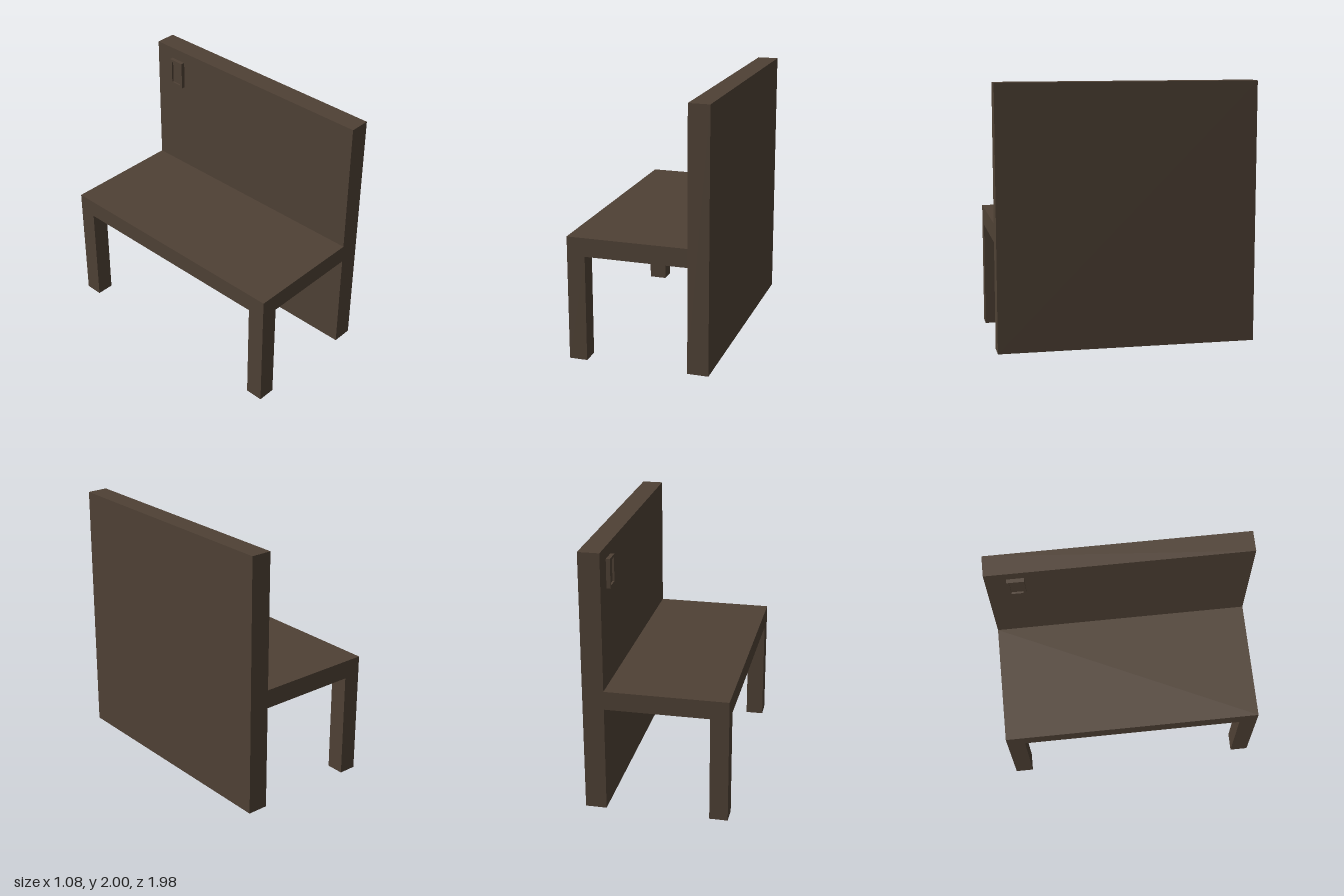
import * as THREE from 'three';

export function createModel() {
  const model = new THREE.Group();
  model.name = 'wallTable';

  const wood = new THREE.MeshStandardMaterial({ color: 0x4f4135 });
  wood.name = 'dark brown wood';

  // Box given by its limits on each axis
  function block(name, [x0, x1], [y0, y1], [z0, z1], parent = model) {
    const mesh = new THREE.Mesh(new THREE.BoxGeometry(x1 - x0, y1 - y0, z1 - z0), wood);
    mesh.position.set((x0 + x1) / 2, (y0 + y1) / 2, (z0 + z1) / 2);
    mesh.name = name;
    parent.add(mesh);
    return mesh;
  }

  const W = 0.54, D = 0.988, wall = 0.38, t = 0.138;
  const under = 0.815, top = 0.957, plate = 0.93;

  // Upright panel and thin table top
  block('backPanel', [wall, W], [0, 2], [-D, D]);
  block('tableTop', [-W, wall], [plate, top], [-D, D]);

  // Rails below the top, leaving a recess underneath
  block('longRail', [-W, -W + t], [under, plate], [-D + t, D - t]);
  for (const [side, s] of [['Left', 1], ['Right', -1]]) {
    const span = [s * D, s * (D - t)].sort((a, b) => a - b);
    block('endRail' + side, [-W, wall], [under, plate], span);
    block('leg' + side, [-W, -W + t], [0, under], span);
  }

  // Small framed plate on the panel
  const frame = new THREE.Group();
  frame.name = 'wallPlate';
  model.add(frame);
  const fx = [0.35, wall], fy = [1.69, 1.91], fz = [-0.83, -0.70], rim = 0.02;
  block('plateBase', [0.365, wall], fy, fz, frame);
  const rx = [fx[0], 0.365];
  block('plateRimTop', rx, [fy[1] - rim, fy[1]], fz, frame);
  block('plateRimBottom', rx, [fy[0], fy[0] + rim], fz, frame);
  block('plateRimBack', rx, [fy[0] + rim, fy[1] - rim], [fz[0], fz[0] + rim], frame);
  block('plateRimFront', rx, [fy[0] + rim, fy[1] - rim], [fz[1] - rim, fz[1]], frame);

  return model;
}
